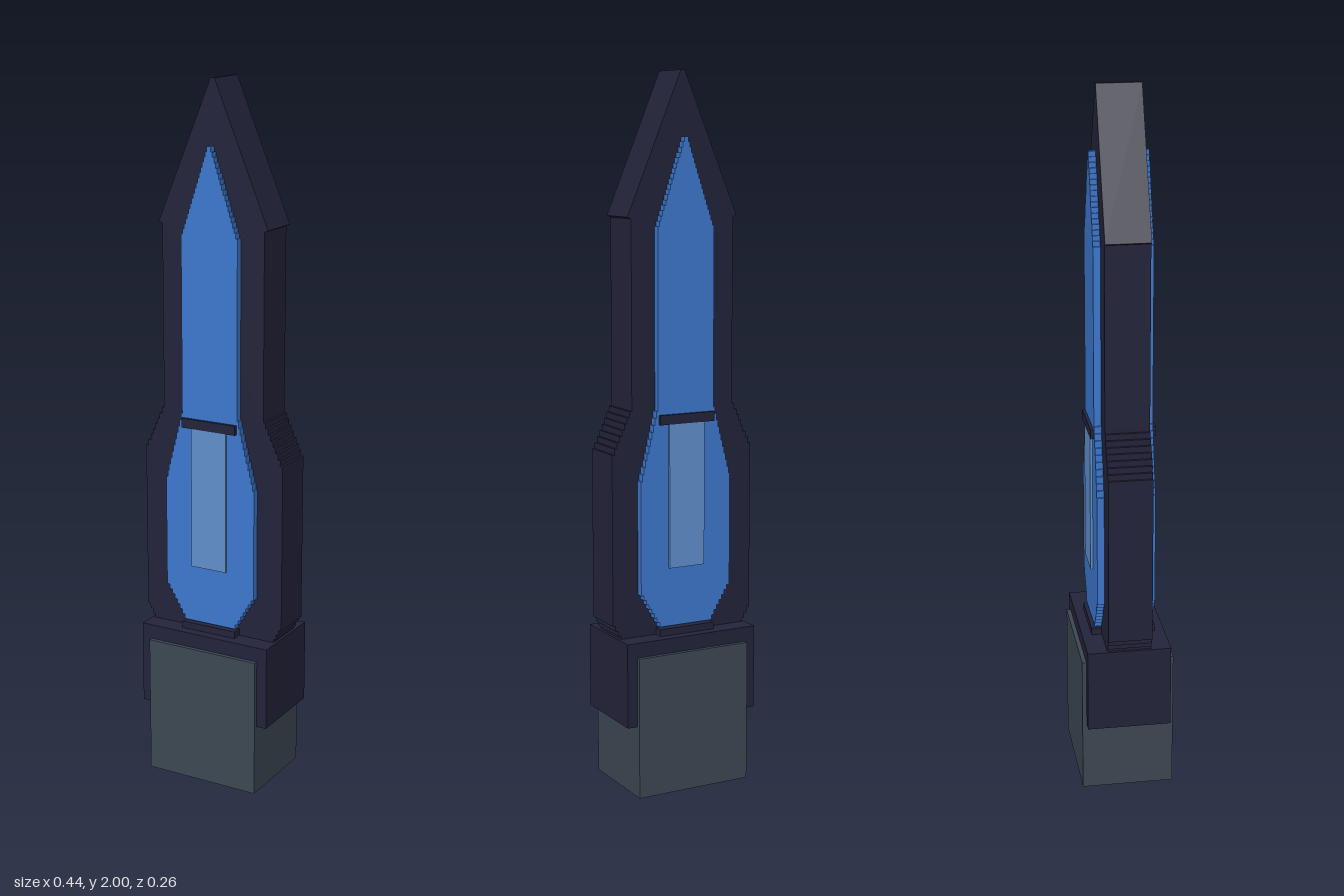
import * as THREE from 'three';

const mat = (name, color) => {
  const m = new THREE.MeshStandardMaterial({ color });
  m.name = name;
  return m;
};

// Adds evenly stepped [halfWidth, y] points between two profile points
function steps(w0, y0, w1, y1, n) {
  const pts = [];
  for (let i = 0; i < n; i++) {
    const w = w0 + ((w1 - w0) * i) / (n - 1);
    pts.push([w, y0 + ((y1 - y0) * i) / n], [w, y0 + ((y1 - y0) * (i + 1)) / n]);
  }
  return pts;
}

// Extrudes a mirrored half profile, centred on z = 0
function slab(name, profile, halfDepth, material) {
  const right = profile.map(([x, y]) => new THREE.Vector2(x, y));
  const left = profile.map(([x, y]) => new THREE.Vector2(-x, y)).reverse();
  const geo = new THREE.ExtrudeGeometry(new THREE.Shape([...right, ...left]), {
    depth: halfDepth * 2, bevelEnabled: false,
  });
  geo.translate(0, 0, -halfDepth);
  const mesh = new THREE.Mesh(geo, material);
  mesh.name = name;
  return mesh;
}

function block(name, halfWidth, y0, y1, halfDepth, material) {
  const mesh = new THREE.Mesh(new THREE.BoxGeometry(halfWidth * 2, y1 - y0, halfDepth * 2), material);
  mesh.position.y = (y0 + y1) / 2;
  mesh.name = name;
  return mesh;
}

export function createModel() {
  const dark = mat('dark navy', 0x23233b);
  const grey = mat('slate grey', 0x3d4853);
  const blue = mat('bright blue', 0x3d78cf);
  const pale = mat('pale blue', 0x6190cc);

  const model = new THREE.Group();
  model.name = 'blade';

  // Handle block and the collar that wraps its upper half
  model.add(block('handle', 0.173, 0, 0.403, 0.131, grey));
  model.add(block('collar', 0.203, 0.205, 0.445, 0.119, dark));

  // Dark frame: stepped shoulders, straight neck
  model.add(slab('frame', [
    ...steps(0.195, 0.44, 0.219, 0.5, 4),
    ...steps(0.219, 0.95, 0.158, 1.1, 9),
    [0.158, 1.615],
  ], 0.062, dark));

  // Pointed tip, slightly wider than the neck
  model.add(slab('tip', [[0.158, 1.605], [0.169, 1.61], [0.006, 2], [0.003, 2]], 0.062, dark));

  // Blue core showing on both faces
  model.add(slab('core', [
    ...steps(0.083, 0.47, 0.141, 0.58, 8),
    ...steps(0.141, 0.87, 0.087, 1.1, 12),
    ...steps(0.087, 1.57, 0.006, 1.823, 18),
  ], 0.082, blue));

  // Pale window strip with dark bars above and below
  model.add(block('windowStrip', 0.055, 0.637, 1.055, 0.089, pale));
  model.add(block('upperBar', 0.085, 1.043, 1.07, 0.091, dark));
  model.add(block('lowerBar', 0.085, 0.44, 0.465, 0.091, dark));

  return model;
}
